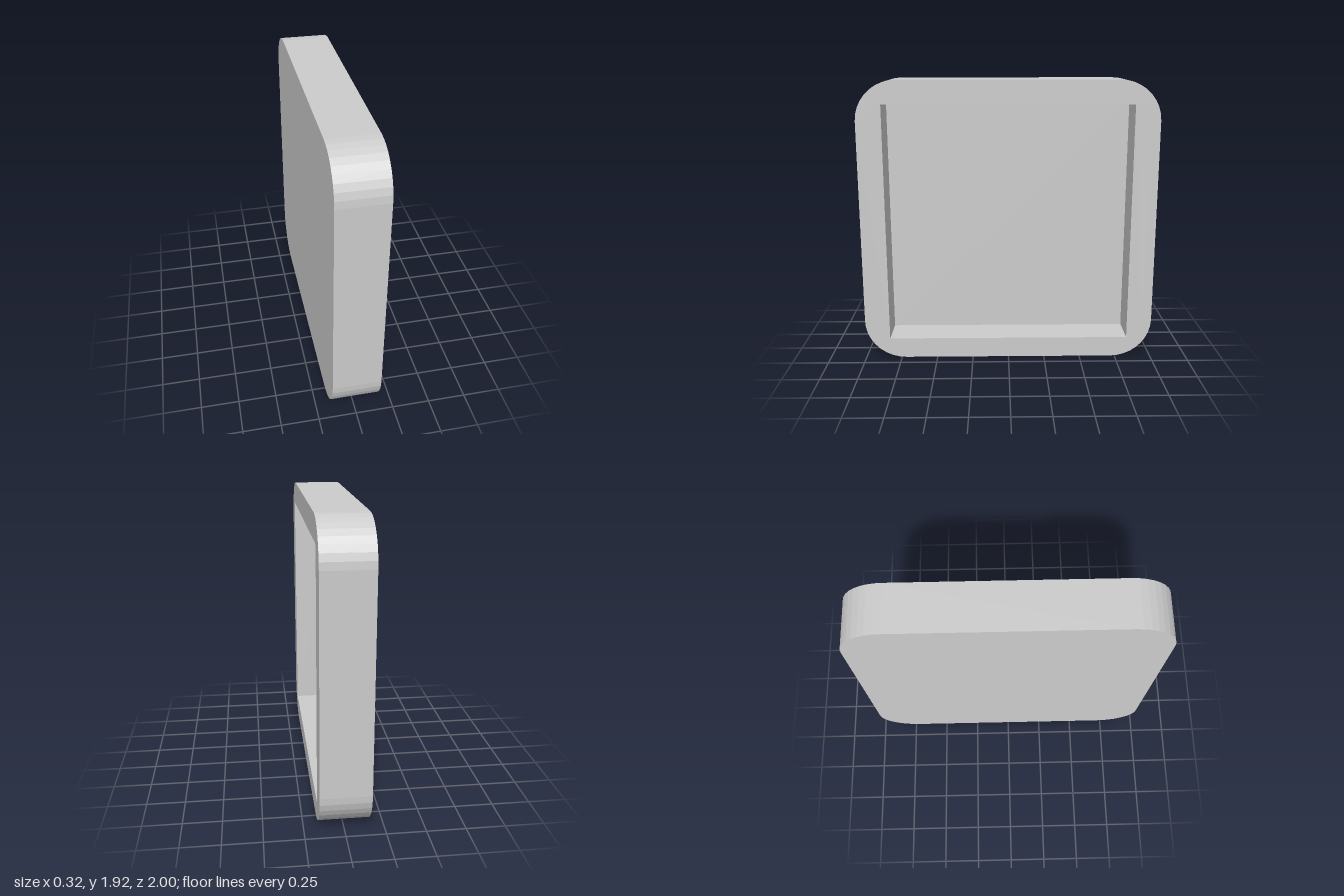
import * as THREE from 'three';

const HEIGHT = 1.925, THICK = 0.32, DEPTH = 0.24; // DEPTH: how far the recess goes in
const RADIUS_Z = 0.28, RADIUS_Y = 0.27, STEPS = 9;
const OPENING = { halfWidth: 0.83, bottom: 0.14, top: 1.765 };

// Outline with faceted rounded corners
function roundedOutline() {
  const points = [];
  const corners = [[1, 1], [-1, 1], [-1, -1], [1, -1]];
  corners.forEach(([sx, sy], i) => {
    const cx = sx * (1 - RADIUS_Z);
    const cy = HEIGHT / 2 + sy * (HEIGHT / 2 - RADIUS_Y);
    for (let k = 0; k <= STEPS; k++) {
      const a = (i + k / STEPS) * Math.PI / 2;
      points.push(new THREE.Vector2(cx + RADIUS_Z * Math.cos(a), cy + RADIUS_Y * Math.sin(a)));
    }
  });
  return new THREE.Shape(points);
}

export function createModel() {
  const group = new THREE.Group();
  group.name = 'recessedPanel';
  const material = new THREE.MeshStandardMaterial({ color: 0xcccccc, flatShading: true });
  const { halfWidth: w, bottom, top } = OPENING;

  // Rounded frame around a square-cornered opening, facing +x
  const outline = roundedOutline();
  outline.holes.push(new THREE.Path([
    new THREE.Vector2(-w, bottom), new THREE.Vector2(-w, top),
    new THREE.Vector2(w, top), new THREE.Vector2(w, bottom),
  ]));
  const frameGeometry = new THREE.ExtrudeGeometry(outline, { depth: THICK, bevelEnabled: false });
  frameGeometry.translate(0, 0, -THICK / 2).rotateY(Math.PI / 2);
  const frame = new THREE.Mesh(frameGeometry, material);
  frame.name = 'frame';

  // Back panel filling the opening, flush with the -x side
  const panelThick = THICK - DEPTH;
  const panel = new THREE.Mesh(new THREE.BoxGeometry(panelThick, top - bottom, 2 * w), material);
  panel.position.set(-THICK / 2 + panelThick / 2, (top + bottom) / 2, 0);
  panel.name = 'backPanel';

  group.add(frame, panel);
  return group;
}
